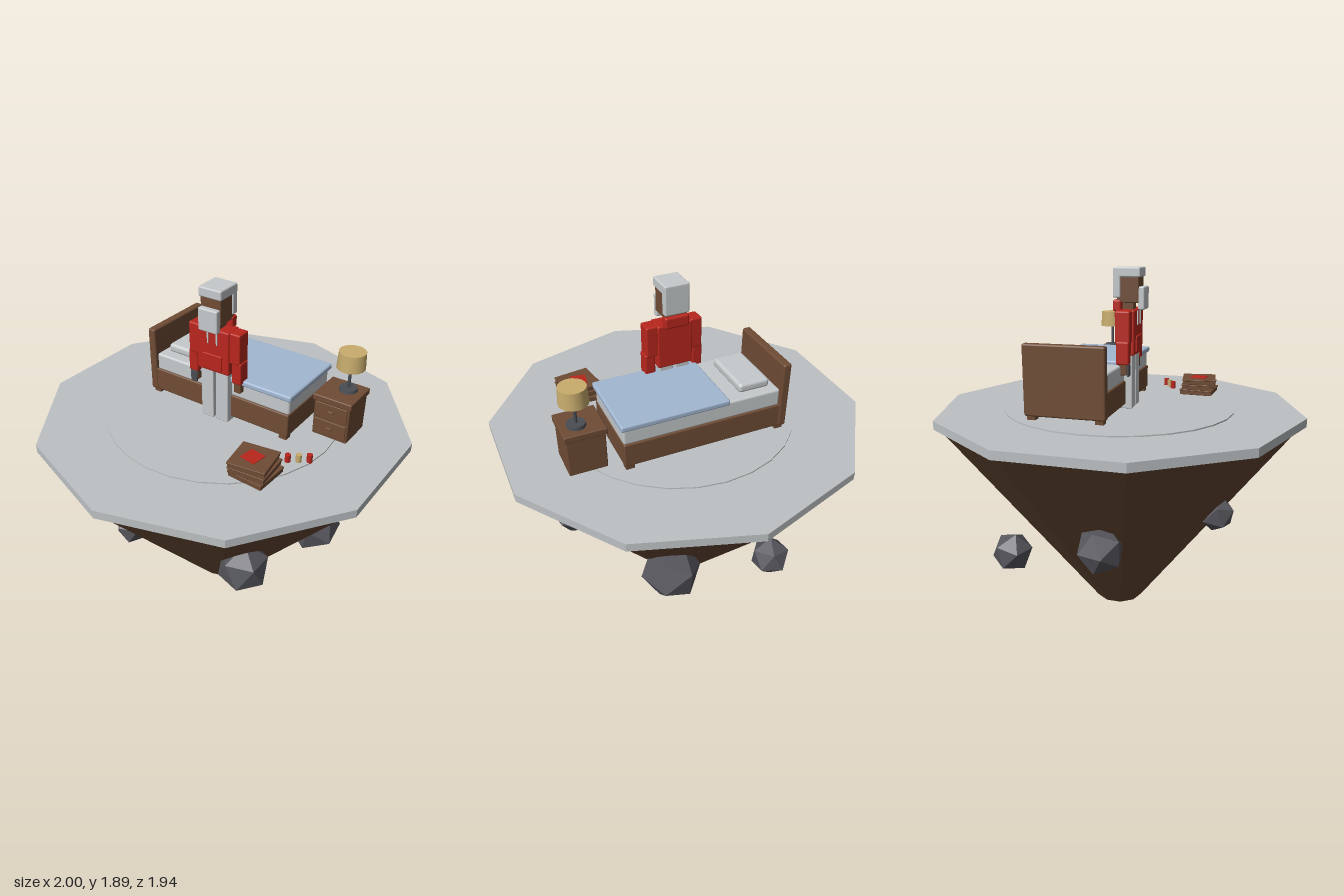
import * as THREE from 'three';
import { RoundedBoxGeometry } from 'three/addons/geometries/RoundedBoxGeometry.js';

const material = (name, color, flat = false) => {
  const m = new THREE.MeshStandardMaterial({ color, flatShading: flat });
  m.name = name;
  return m;
};

export function createModel() {
  const earth = material('earth', 0x664832, true);
  const ground = material('ground', 0xbdc1c3, true);
  const rock = material('rock', 0x56565d, true);
  const wood = material('wood', 0x6f4c35);
  const pale = material('pale cloth', 0xc6cacc);
  const blue = material('blanket blue', 0xa2b7d2);
  const red = material('red', 0xb9261d);
  const tan = material('tan', 0xc9ad6d);
  const dark = material('dark metal', 0x4a4e54);

  const root = new THREE.Group();
  root.name = 'floatingBedroom';
  const FLOOR = 1.152;

  const group = (name, x, y, z, turn) => {
    const g = new THREE.Group();
    g.name = name;
    g.position.set(x, y, z);
    g.rotation.y = turn;
    root.add(g);
    return g;
  };
  const add = (parent, name, geometry, mat, x, y, z) => {
    const mesh = new THREE.Mesh(geometry, mat);
    mesh.name = name;
    mesh.position.set(x, y, z);
    parent.add(mesh);
    return mesh;
  };
  // Softly bevelled box; y is the height of its underside
  const box = (parent, name, mat, w, h, d, x, y, z, bevel = 0.006) =>
    add(parent, name, bevel ? new RoundedBoxGeometry(w, h, d, 2, bevel) : new THREE.BoxGeometry(w, h, d),
      mat, x, y + h / 2, z);
  const drum = (parent, name, mat, rTop, rBottom, h, x, y, z, sides, start = 0) =>
    add(parent, name, new THREE.CylinderGeometry(rTop, rBottom, h, sides, 1, false, start),
      mat, x, y + h / 2, z);

  // Island: ten-sided cone of earth under a flat slab
  const start = THREE.MathUtils.degToRad(14);
  drum(root, 'earthCone', earth, 0.975, 0.132, 1.1, 0, 0, 0, 10, start);
  drum(root, 'groundSlab', ground, 1.002, 1.002, 0.045, 0, 1.1, 0, 10, start);
  drum(root, 'floorDisc', ground, 0.63, 0.63, 0.008, 0, 1.144, 0, 28);

  // Rocks set around the cone: x, y, z, radius
  [
    [-0.58, 0.57, 0.23, 0.125], [-0.04, 0.65, 0.61, 0.1], [0.53, 0.59, 0.32, 0.14],
    [0.59, 0.65, -0.14, 0.145], [0.13, 0.59, -0.62, 0.16], [-0.48, 0.36, -0.41, 0.115],
  ].forEach(([x, y, z, r], i) => {
    const m = add(root, 'rock' + (i + 1), new THREE.IcosahedronGeometry(r, 0), rock, x, y, z);
    m.rotation.set(i * 1.3, i * 0.8, i * 0.5);
  });

  // Bed
  const bed = group('bed', -0.04, 0, -0.15, 0.25);
  box(bed, 'bedFrame', wood, 0.87, 0.13, 0.42, -0.005, 1.175, 0, 0.008);
  box(bed, 'headboard', wood, 0.045, 0.365, 0.43, -0.435, 1.172, 0, 0.01);
  for (const x of [-0.425, 0.4])
    for (const z of [-0.18, 0.18])
      box(bed, 'bedFoot', wood, 0.045, 0.045, 0.045, x, 1.145, z, 0.004);
  box(bed, 'mattress', pale, 0.84, 0.095, 0.405, 0.008, 1.3, 0, 0.012);
  box(bed, 'blanket', blue, 0.565, 0.032, 0.432, 0.158, 1.384, 0, 0.01);
  box(bed, 'pillow', pale, 0.17, 0.05, 0.3, -0.29, 1.392, -0.005, 0.018);

  // Nightstand with two drawers
  const stand = group('nightstand', 0.52, 0, -0.335, 0.25);
  box(stand, 'standBody', wood, 0.195, 0.205, 0.195, 0, 1.15, 0);
  box(stand, 'standTop', wood, 0.212, 0.035, 0.212, 0, 1.35, 0);
  for (const y of [1.165, 1.262]) {
    box(stand, 'drawerFront', wood, 0.175, 0.085, 0.01, 0, y, 0.099, 0.003);
    box(stand, 'drawerHandle', wood, 0.03, 0.012, 0.012, 0, y + 0.04, 0.108, 0.003);
  }

  // Lamp
  const lamp = group('lamp', 0.535, 0, -0.365, 0);
  drum(lamp, 'lampBase', dark, 0.045, 0.048, 0.018, 0, 1.384, 0, 16);
  drum(lamp, 'lampPole', dark, 0.008, 0.008, 0.14, 0, 1.395, 0, 8);
  drum(lamp, 'lampShade', tan, 0.068, 0.073, 0.088, 0, 1.513, 0, 16);

  // Stack of flat boxes with a red label on the top one
  const stack = group('boxStack', 0.51, 0, 0.25, 0.4);
  [[-0.2, 0.012], [-0.07, 0.006], [0, 0]].forEach(([turn, shift], i) => {
    const base = box(stack, 'flatBox', wood, 0.19, 0.024, 0.185, shift, FLOOR + i * 0.032, 0, 0.002);
    const lid = box(stack, 'boxLid', wood, 0.197, 0.009, 0.192, shift, FLOOR + i * 0.032 + 0.021, 0, 0.002);
    base.rotation.y = lid.rotation.y = turn;
  });
  box(stack, 'boxLabel', red, 0.085, 0.004, 0.085, -0.005, FLOOR + 0.093, 0, 0).rotation.y = -0.3;

  // Small cans
  [[0.62, -0.02, red], [0.585, 0.02, tan], [0.55, 0.06, red]].forEach(([x, z, m]) =>
    drum(root, 'can', m, 0.015, 0.015, 0.045, x, FLOOR - 0.004, z, 12));

  // Standing figure
  const man = group('figure', 0.015, 0, 0.05, 0.27);
  box(man, 'torso', red, 0.19, 0.235, 0.1, 0, 1.44, 0, 0.008);
  box(man, 'pocket', red, 0.115, 0.085, 0.012, 0, 1.455, 0.052, 0.004);
  box(man, 'hood', red, 0.13, 0.06, 0.045, 0, 1.665, -0.052, 0.01);
  box(man, 'neck', wood, 0.06, 0.05, 0.06, 0, 1.665, 0, 0.004);
  for (const s of [-1, 1]) {
    box(man, 'leg', pale, 0.075, 0.295, 0.075, s * 0.045, FLOOR, 0, 0.005);
    box(man, 'upperArm', red, 0.062, 0.165, 0.08, s * 0.122, 1.51, 0, 0.008);
    box(man, 'forearm', red, 0.055, 0.12, 0.07, s * 0.132, 1.4, 0.002, 0.008);
    box(man, 'hand', wood, 0.042, 0.065, 0.045, s * 0.132, 1.345, 0.004, 0.006);
    box(man, 'drawstring', pale, 0.008, 0.075, 0.008, s * 0.027, 1.595, 0.052, 0.002);
  }
  box(man, 'heldPhone', dark, 0.038, 0.062, 0.009, -0.132, 1.338, 0.031, 0.002);

  // Head with cap of hair and beard
  box(man, 'head', wood, 0.118, 0.135, 0.118, 0, 1.71, 0.005, 0.006);
  box(man, 'hairTop', pale, 0.132, 0.05, 0.145, 0, 1.84, 0, 0.008);
  box(man, 'hairBack', pale, 0.132, 0.15, 0.04, 0, 1.735, -0.053, 0.008);
  box(man, 'beard', pale, 0.112, 0.118, 0.035, 0, 1.675, 0.076, 0.008);

  return root;
}
